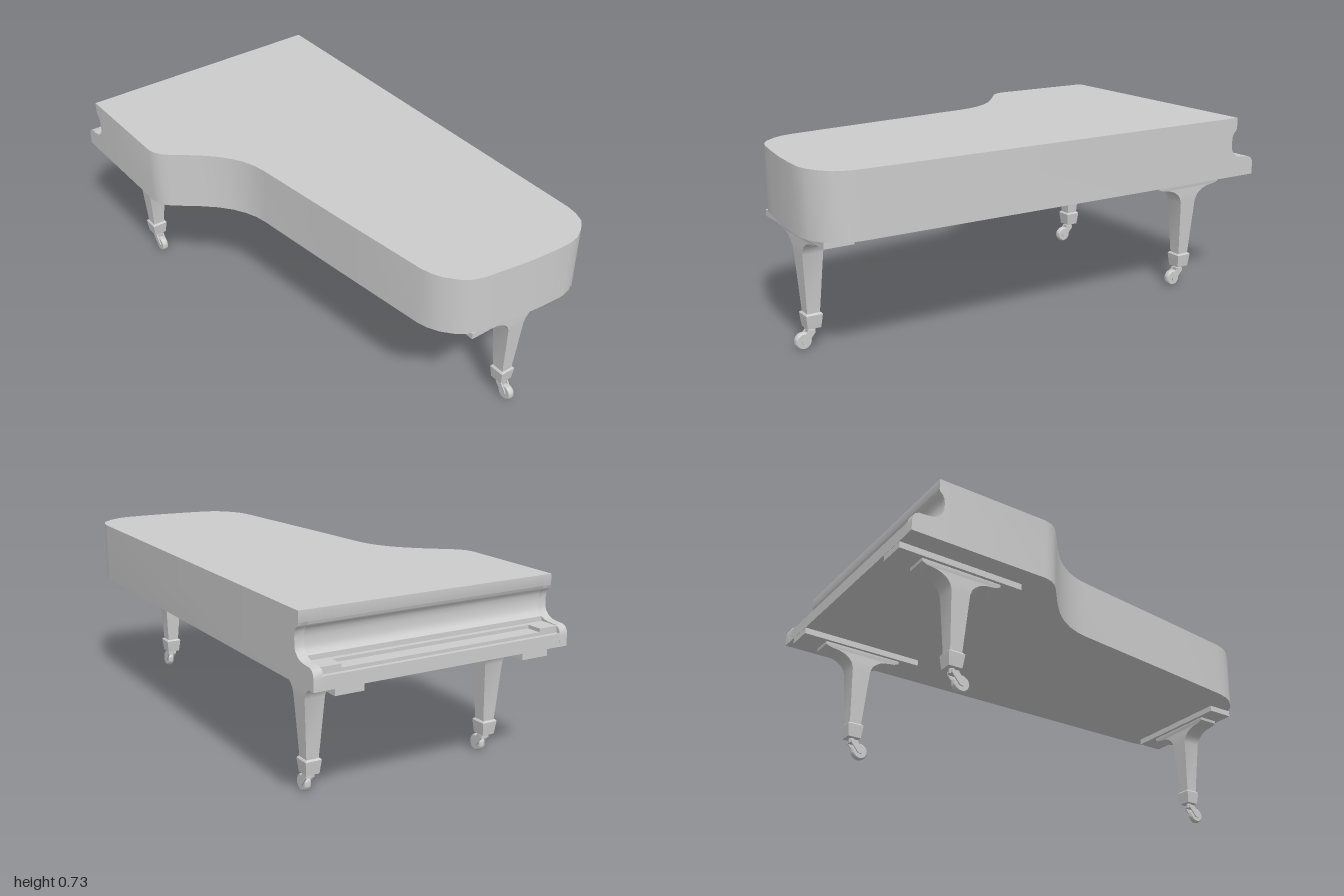
import * as THREE from 'three';
import { toCreasedNormals } from 'three/addons/utils/BufferGeometryUtils.js';

const grey = new THREE.MeshStandardMaterial({ color: 0xcccccc });

function add(parent, name, geometry, x = 0, y = 0, z = 0) {
  const mesh = new THREE.Mesh(geometry, grey);
  mesh.name = name;
  mesh.position.set(x, y, z);
  parent.add(mesh);
  return mesh;
}

const box = (w, h, d) => new THREE.BoxGeometry(w, h, d);

const extrude = (points, depth) => toCreasedNormals(new THREE.ExtrudeGeometry(
  new THREE.Shape(points.map(([x, y]) => new THREE.Vector2(x, y))),
  { depth, bevelEnabled: false }), 0.6);

// Box whose rows follow sections [y, halfX, halfZ], listed from top to bottom
function loft(sections) {
  const n = sections.length - 1;
  const geometry = new THREE.BoxGeometry(2, 1, 2, 1, n, 1);
  const p = geometry.attributes.position;
  for (let i = 0; i < p.count; i++) {
    const [y, hx, hz] = sections[Math.round((0.5 - p.getY(i)) * n)];
    p.setXYZ(i, Math.sign(p.getX(i)) * hx, y, Math.sign(p.getZ(i)) * hz);
  }
  return toCreasedNormals(geometry, 0.6);
}

// Leg with bracket and mounting plate along x, or along z when turned
function createLeg(name, x, z, plateShift, turned) {
  const leg = new THREE.Group();
  leg.name = name;
  leg.position.set(x, 0, z);

  const upper = new THREE.Group();
  upper.name = 'legUpper';
  if (turned) upper.rotation.y = Math.PI / 2;
  leg.add(upper);
  add(upper, 'mountingPlate', box(0.51, 0.026, 0.115), plateShift, 0.47, 0);
  add(upper, 'bracketAndLeg', loft([
    [0.46, 0.165, 0.044], [0.445, 0.163, 0.044], [0.438, 0.145, 0.042],
    [0.433, 0.105, 0.042], [0.424, 0.078, 0.042], [0.41, 0.058, 0.042],
    [0.395, 0.046, 0.042], [0.375, 0.039, 0.041], [0.135, 0.024, 0.025],
  ]));
  add(upper, 'footCollar', loft([
    [0.142, 0.028, 0.028], [0.136, 0.033, 0.033], [0.126, 0.032, 0.032], [0.083, 0.027, 0.027],
  ]));

  // Swivel caster trailing towards +x
  const caster = new THREE.Group();
  caster.name = 'caster';
  leg.add(caster);
  add(caster, 'casterStem', new THREE.CylinderGeometry(0.012, 0.012, 0.022, 16), 0, 0.075, 0);
  add(caster, 'forkCrown', box(0.028, 0.012, 0.036), 0.006, 0.07, 0);
  const wheel = new THREE.LatheGeometry([
    [0, -0.013], [0.028, -0.013], [0.032, -0.009], [0.034, 0],
    [0.032, 0.009], [0.028, 0.013], [0, 0.013],
  ].map(([r, h]) => new THREE.Vector2(r, h)), 28).rotateX(Math.PI / 2);
  add(caster, 'wheel', toCreasedNormals(wheel, 0.6), 0.036, 0.034, 0);
  for (const side of [-1, 1]) {
    const arm = extrude([[-0.008, 0.076], [-0.008, 0.064], [0.026, 0.025], [0.04, 0.023],
      [0.046, 0.034], [0.042, 0.045], [0.018, 0.076]], 0.005);
    add(caster, 'forkArm', arm, 0, 0, side * 0.0155 - 0.0025);
  }
  return leg;
}

export function createModel() {
  const piano = new THREE.Group();
  piano.name = 'grandPiano';

  // Case with straight spine, rounded tail and curved bent side
  const outline = [
    [-0.86, -0.537], [0.84, -0.535], [0.885, -0.528], [0.93, -0.51], [0.965, -0.47],
    [0.99, -0.425], [1, -0.38], [0.998, -0.3], [0.99, -0.2], [0.975, -0.09], [0.96, 0],
    [0.945, 0.045], [0.92, 0.08], [0.875, 0.118], [0.835, 0.138], [0.79, 0.15],
    [0.4, 0.197], [-0.04, 0.247], [-0.09, 0.257], [-0.14, 0.276], [-0.19, 0.305],
    [-0.24, 0.346], [-0.29, 0.4], [-0.365, 0.493], [-0.385, 0.513], [-0.41, 0.528],
    [-0.44, 0.535], [-0.86, 0.535],
  ];
  const body = extrude(outline, 0.25).rotateX(Math.PI / 2);
  add(piano, 'case', body, 0, 0.732, 0);

  // Scooped keyboard end: full cheeks at the sides, lowered key bed between them
  const scoop = [
    [-0.86, 0.732], [-0.9, 0.732], [-0.9, 0.69], [-0.897, 0.68], [-0.886, 0.67],
    [-0.878, 0.655], [-0.876, 0.635], [-0.877, 0.605], [-0.884, 0.588], [-0.898, 0.575],
  ];
  const cheek = [...scoop, [-0.915, 0.566], [-0.94, 0.562], [-0.975, 0.56], [-0.99, 0.553],
    [-0.998, 0.54], [-1, 0.525], [-1, 0.482], [-0.86, 0.482]];
  const bed = [...scoop, [-0.9, 0.525], [-0.99, 0.525], [-0.99, 0.482], [-0.86, 0.482]];
  add(piano, 'leftCheek', extrude(cheek, 0.035), 0, 0, 0.5);
  add(piano, 'rightCheek', extrude(cheek, 0.037), 0, 0, -0.537);
  add(piano, 'keyBed', extrude(bed, 1), 0, 0, -0.5);
  add(piano, 'keySlip', box(0.018, 0.05, 1), -0.99, 0.507, 0);
  add(piano, 'keys', box(0.06, 0.022, 0.84), -0.95, 0.533, 0);
  add(piano, 'keyRail', box(0.024, 0.032, 1), -0.908, 0.541, 0);
  for (const side of [-1, 1])
    add(piano, 'keyBlock', box(0.062, 0.034, 0.08), -0.95, 0.541, side * 0.46);

  // Two legs at the keyboard end, one at the tail
  piano.add(createLeg('keyboardLegLeft', -0.735, 0.388, -0.008, false));
  piano.add(createLeg('keyboardLegRight', -0.735, -0.398, -0.008, false));
  piano.add(createLeg('tailLeg', 0.9, -0.216, 0.008, true));

  return piano;
}
